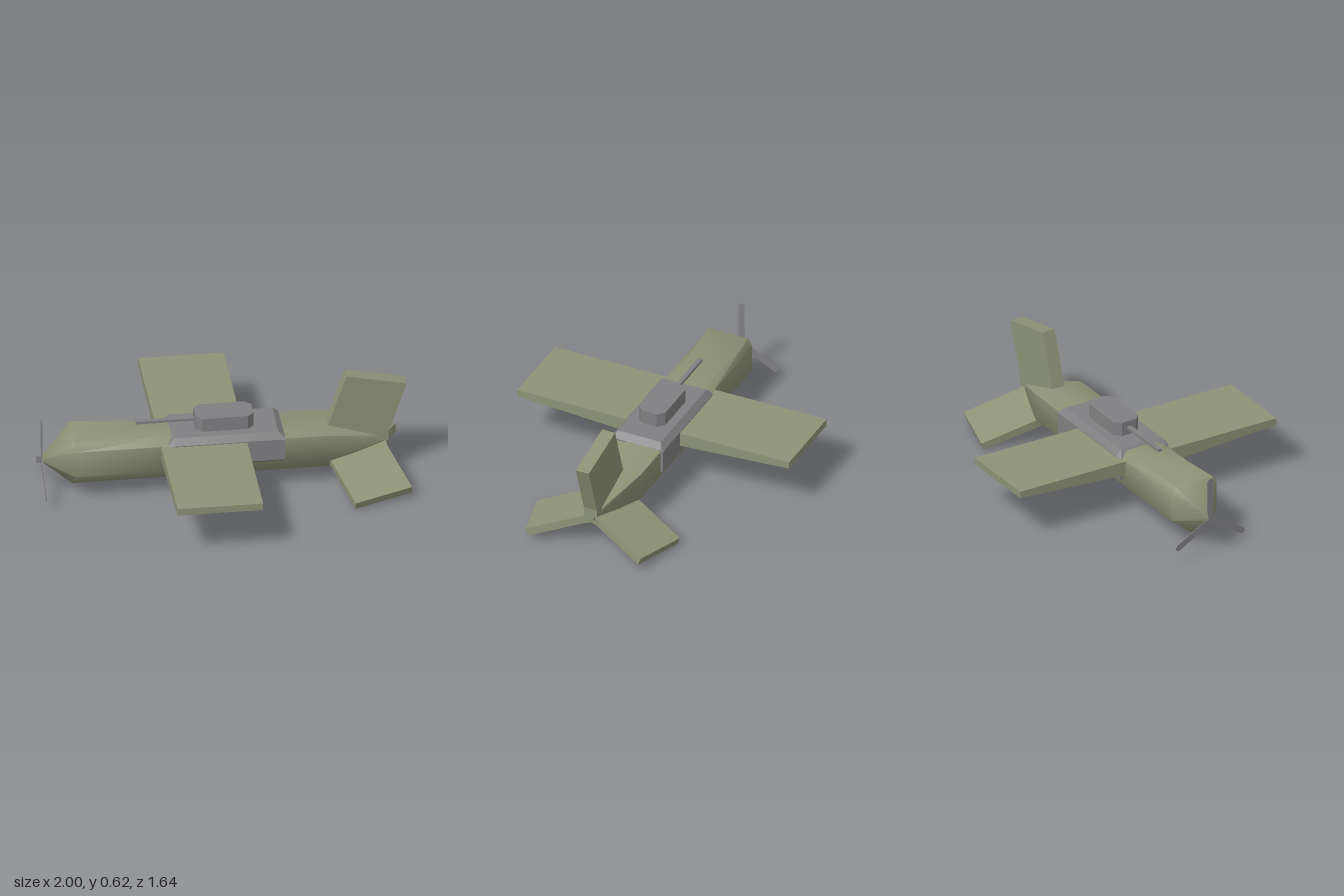
import * as THREE from 'three';
import { toCreasedNormals } from 'three/addons/utils/BufferGeometryUtils.js';

const green = new THREE.MeshStandardMaterial({ color: 0x8d9276 });
green.name = 'olive green';
const grey = new THREE.MeshStandardMaterial({ color: 0x808082 });
grey.name = 'steel grey';

// Mirrors a half section [z, y], listed from bottom to top, into a full ring.
const ring = (half) => [
  ...half,
  ...half.filter(([z]) => z > 0).reverse().map(([z, y]) => [-z, y]),
];

// Skins half sections [x, half] in order of rising x and closes both ends.
function loft(sections, crease = 0.3) {
  const rings = sections.map(([x, half]) => ring(half).map(([z, y]) => [x, y, z]));
  const n = rings[0].length;
  const out = [];
  const tri = (...corners) => corners.forEach((c) => out.push(...c));
  for (let s = 0; s < rings.length - 1; s++) {
    for (let i = 0; i < n; i++) {
      const j = (i + 1) % n;
      const a = rings[s][i], b = rings[s][j], c = rings[s + 1][j], d = rings[s + 1][i];
      tri(a, d, c);
      tri(a, c, b);
    }
  }
  [rings[0], rings[rings.length - 1]].forEach((r, end) => {
    const mid = [r[0][0], r.reduce((sum, p) => sum + p[1], 0) / n, 0];
    for (let i = 0; i < n; i++) {
      const j = (i + 1) % n;
      if (end) tri(mid, r[j], r[i]);
      else tri(mid, r[i], r[j]);
    }
  });
  const geo = new THREE.BufferGeometry();
  geo.setAttribute('position', new THREE.Float32BufferAttribute(out, 3));
  return toCreasedNormals(geo, crease);
}

// Plate cut from an outline, centred on its thickness.
function plate(points, thickness) {
  const shape = new THREE.Shape(points.map(([x, y]) => new THREE.Vector2(x, y)));
  const geo = new THREE.ExtrudeGeometry(shape, { depth: thickness, bevelEnabled: false });
  return geo.translate(0, 0, -thickness / 2);
}

export function createModel() {
  const model = new THREE.Group();
  model.name = 'aircraft';
  const add = (name, geo, mat, parent = model) => {
    const mesh = new THREE.Mesh(geo, mat);
    mesh.name = name;
    parent.add(mesh);
    return mesh;
  };

  // Hull with a keel, upright sides and a narrowing raised deck
  const hull = (x, top, topWidth) => [x, [[0, 0.04], [0.145, 0.16], [0.145, 0.315], [topWidth, top]]];
  add('fuselage', loft([
    [-0.995, [[0, 0.185], [0.012, 0.195], [0.012, 0.215], [0.01, 0.22]]],
    hull(-0.83, 0.36, 0.12),
    hull(-0.36, 0.345, 0.095),
    hull(0.57, 0.318, 0.045),
    [0.9, [[0, 0.16], [0.02, 0.18], [0.02, 0.21], [0.01, 0.22]]],
  ], 0.95), green);

  // One-piece wing, thinner toward the tips, with a block under the root
  const wing = [[0.14, 0.19], [0.163, 0.235], [0.82, 0.275], [0.82, 0.315]];
  add('wings', loft([[-0.36, wing], [0.11, wing]]), green);

  // Tail fins
  add('topFin', plate([
    [0.57, 0], [0.57, 0.12], [0.67, 0.42], [1, 0.35], [0.9, 0.05], [0.9, 0],
  ], 0.078), green).position.y = 0.2;
  const lowerOutline = [[0.57, 0], [0.57, 0.13], [0.67, 0.45], [0.99, 0.36], [0.89, 0.05], [0.89, 0]];
  for (const side of [1, -1]) {
    const fin = add(side > 0 ? 'frontLowerFin' : 'rearLowerFin', plate(lowerOutline, 0.045), green);
    fin.position.y = 0.178;
    fin.rotation.x = side * THREE.MathUtils.degToRad(110);
  }

  // Armoured saddle with chamfered upper edges
  const saddle = (topWidth, top, shoulder) => [[0.13, 0.165], [0.16, 0.195], [0.16, shoulder], [topWidth, top]];
  add('armourSaddle', loft([
    [-0.32, saddle(0.145, 0.32, 0.31)],
    [-0.285, saddle(0.13, 0.355, 0.32)],
    [0.285, saddle(0.13, 0.355, 0.32)],
    [0.32, saddle(0.145, 0.325, 0.315)],
  ]), grey);

  // Turret and gun
  const turret = new THREE.Group();
  turret.name = 'turret';
  model.add(turret);
  const corners = [
    [-0.16, -0.045], [-0.125, -0.08], [0.125, -0.08], [0.16, -0.045],
    [0.16, 0.045], [0.125, 0.08], [-0.125, 0.08], [-0.16, 0.045],
  ];
  add('turretBody', plate(corners, 0.085).rotateX(-Math.PI / 2), grey, turret).position.y = 0.393;
  add('gunBarrel', new THREE.BoxGeometry(0.34, 0.015, 0.026), grey, turret).position.set(-0.31, 0.397, 0);

  // Three-bladed propeller at the nose
  const propeller = new THREE.Group();
  propeller.name = 'propeller';
  propeller.position.set(-0.998, 0.2, 0);
  model.add(propeller);
  const bladeOutline = [
    [-0.01, 0], [0.01, 0], [0.018, 0.06], [0.018, 0.235], [0.01, 0.25], [-0.01, 0.25], [-0.018, 0.235], [-0.018, 0.06],
  ];
  for (let i = 0; i < 3; i++) {
    const blade = add('propellerBlade', plate(bladeOutline, 0.004).rotateY(Math.PI / 2), grey, propeller);
    blade.rotation.x = (i * Math.PI * 2) / 3;
  }

  return model;
}
